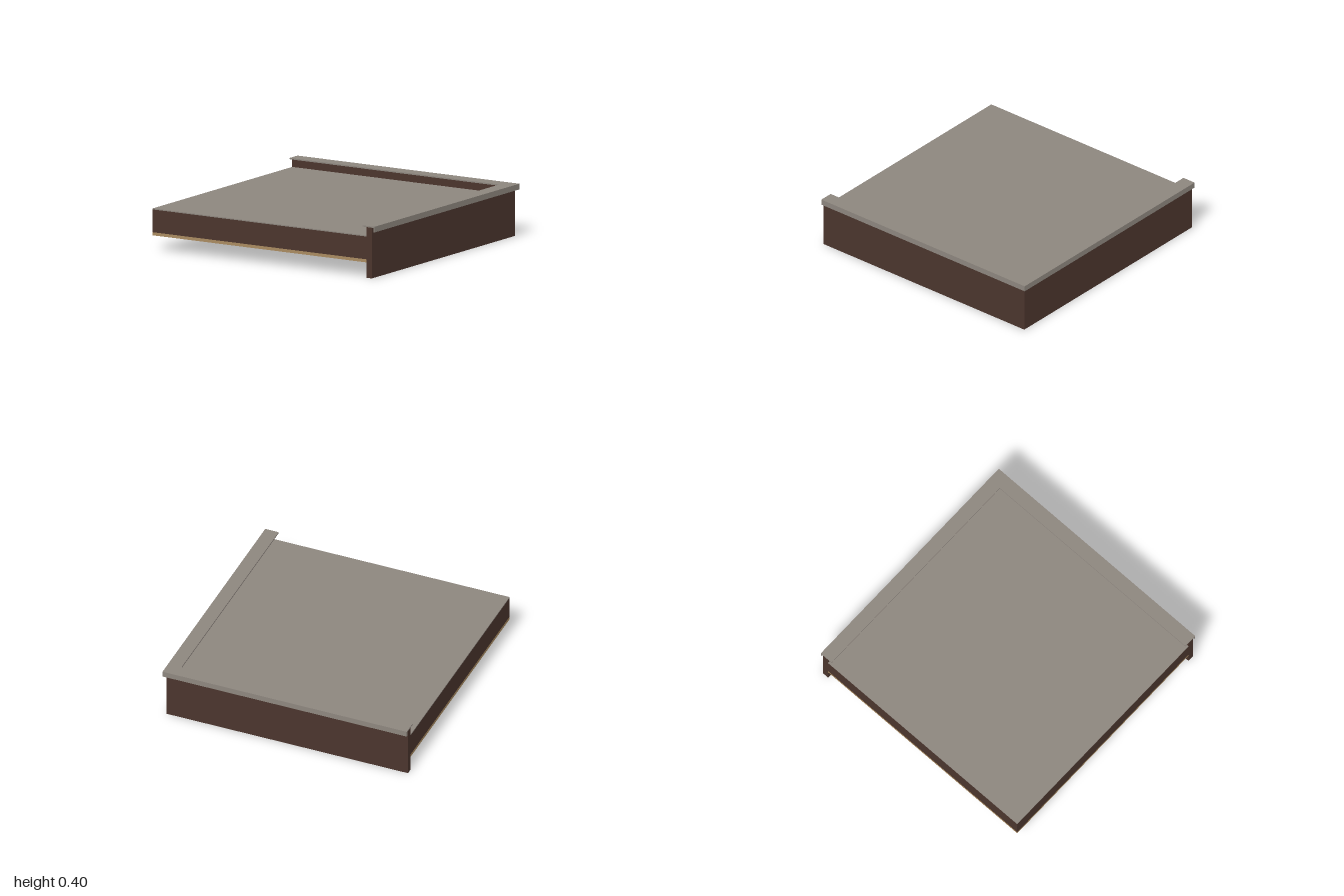
import * as THREE from 'three';

const mat = (name, color) => {
  const m = new THREE.MeshStandardMaterial({ color });
  m.name = name;
  return m;
};

export function createModel() {
  const group = new THREE.Group();
  const wood = mat('dark brown wood', 0x4b352d);
  const ceiling = mat('tan ceiling', 0xa98a60);
  const metal = mat('warm grey covering', 0x8d867e);

  // Box given by its extents on each axis
  const box = (name, material, [x0, x1], [y0, y1], [z0, z1]) => {
    const mesh = new THREE.Mesh(new THREE.BoxGeometry(x1 - x0, y1 - y0, z1 - z0), material);
    mesh.position.set((x0 + x1) / 2, (y0 + y1) / 2, (z0 + z1) / 2);
    mesh.name = name;
    group.add(mesh);
  };

  // L-shaped band along the +x and -z sides, from inner to outer offset
  const corner = (name, material, inner, outer, y0, y1) => {
    const s = new THREE.Shape();
    s.moveTo(-1, outer);
    s.lineTo(outer, outer);
    s.lineTo(outer, -1);
    s.lineTo(inner, -1);
    s.lineTo(inner, inner);
    s.lineTo(-1, inner);
    s.closePath();
    const geo = new THREE.ExtrudeGeometry(s, { depth: y1 - y0, bevelEnabled: false });
    geo.rotateX(-Math.PI / 2);
    const mesh = new THREE.Mesh(geo, material);
    mesh.position.y = y0;
    mesh.name = name;
    group.add(mesh);
  };

  // Layered roof slab
  box('ceilingPanel', ceiling, [-1, 0.926], [0.118, 0.142], [-0.926, 1]);
  box('roofCore', wood, [-1, 0.926], [0.142, 0.317], [-0.926, 1]);
  box('roofCovering', metal, [-1, 0.926], [0.317, 0.325], [-0.926, 1]);

  // Fascia walls and their coping with an outer drip edge
  corner('fascia', wood, 0.926, 0.976, 0, 0.39);
  corner('copingTop', metal, 0.89, 1, 0.39, 0.4);
  corner('copingDripEdge', metal, 0.99, 1, 0.356, 0.39);

  return group;
}
